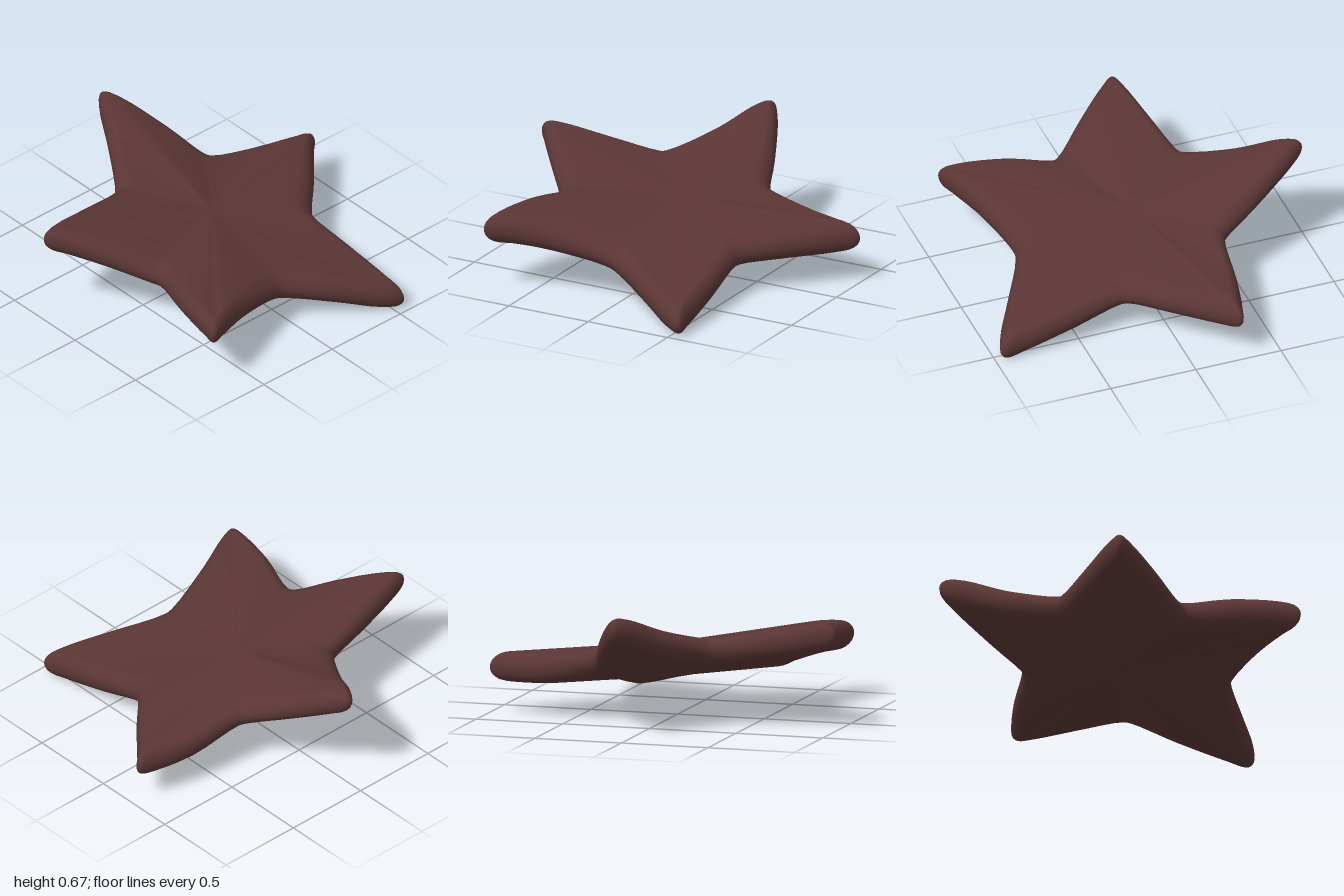
import * as THREE from 'three';

// Star outline, clockwise from the back tip: x, height of the edge's middle, z
const OUTLINE = [
  [0.055, 0.615, -0.98], [0.11, 0.59, -0.92], [0.245, 0.46, -0.655], [0.335, 0.35, -0.44], [0.37, 0.335, -0.41],
  [0.68, 0.265, -0.365], [0.91, 0.25, -0.31], [0.995, 0.25, -0.275], [0.93, 0.24, -0.2], [0.73, 0.235, 0.025],
  [0.545, 0.22, 0.22], [0.525, 0.21, 0.27], [0.545, 0.14, 0.56], [0.56, 0.075, 0.87], [0.555, 0.055, 0.97],
  [0.46, 0.075, 0.945], [0.26, 0.135, 0.83], [-0.04, 0.215, 0.665], [-0.11, 0.235, 0.66], [-0.42, 0.31, 0.745],
  [-0.65, 0.35, 0.835], [-0.74, 0.35, 0.855], [-0.74, 0.36, 0.78], [-0.69, 0.365, 0.52], [-0.61, 0.345, 0.25],
  [-0.63, 0.35, 0.2], [-0.79, 0.44, 0.01], [-0.95, 0.515, -0.185], [-0.998, 0.53, -0.26], [-0.915, 0.52, -0.295],
  [-0.66, 0.475, -0.35], [-0.36, 0.43, -0.41], [-0.325, 0.43, -0.43], [-0.13, 0.51, -0.71], [0, 0.6, -0.93],
];
const CENTRE_Y = 0.305;
const EDGE = 0.11; // how far the rounded rim reaches inward
const HALF = 0.082; // half thickness at the rim
const SWELL = 0.015; // extra half thickness at the centre

function starGeometry() {
  const curve = new THREE.CatmullRomCurve3(OUTLINE.map((p) => new THREE.Vector3(...p)), true, 'centripetal');
  const n = OUTLINE.length * 4;
  const outline = Array.from({ length: n }, (_, i) => curve.getPoint(i / n));

  // Cross-section from the top middle, round the rim, to the bottom middle
  const section = [];
  for (const f of [0.2, 0.4, 0.6, 0.8]) section.push({ f, pull: 1, h: HALF + SWELL * (1 - f) });
  for (let a = 0; a <= 12; a++) {
    const t = (a / 12) * Math.PI;
    section.push({ f: 1, pull: 1 - Math.sin(t), h: HALF * Math.cos(t) });
  }
  for (const f of [0.8, 0.6, 0.4, 0.2]) section.push({ f, pull: 1, h: -HALF - SWELL * (1 - f) });

  const pos = [];
  for (const { f, pull, h } of section) {
    for (const p of outline) {
      const s = f * (1 - (EDGE * pull) / Math.hypot(p.x, p.z));
      pos.push(p.x * s, CENTRE_Y + (p.y - CENTRE_Y) * s + h, p.z * s);
    }
  }
  const top = pos.length / 3;
  const bottom = top + 1;
  pos.push(0, CENTRE_Y + HALF + SWELL, 0, 0, CENTRE_Y - HALF - SWELL, 0);

  const index = [];
  const last = (section.length - 1) * n;
  for (let k = 0; k < n; k++) {
    const k1 = (k + 1) % n;
    index.push(top, k1, k, bottom, last + k, last + k1);
    for (let r = 0; r < last; r += n) {
      index.push(r + k, r + k1, r + n + k, r + k1, r + n + k1, r + n + k);
    }
  }
  const geo = new THREE.BufferGeometry();
  geo.setAttribute('position', new THREE.Float32BufferAttribute(pos, 3));
  geo.setIndex(index);
  geo.computeVertexNormals();
  return geo;
}

export function createModel() {
  const group = new THREE.Group();
  group.name = 'star';
  const brown = new THREE.MeshStandardMaterial({ color: 0x5a3635 });
  brown.name = 'dark reddish brown';
  const body = new THREE.Mesh(starGeometry(), brown);
  body.name = 'starBody';

  // Stand on the ground
  body.geometry.computeBoundingBox();
  body.position.y = -body.geometry.boundingBox.min.y;
  group.add(body);
  return group;
}
